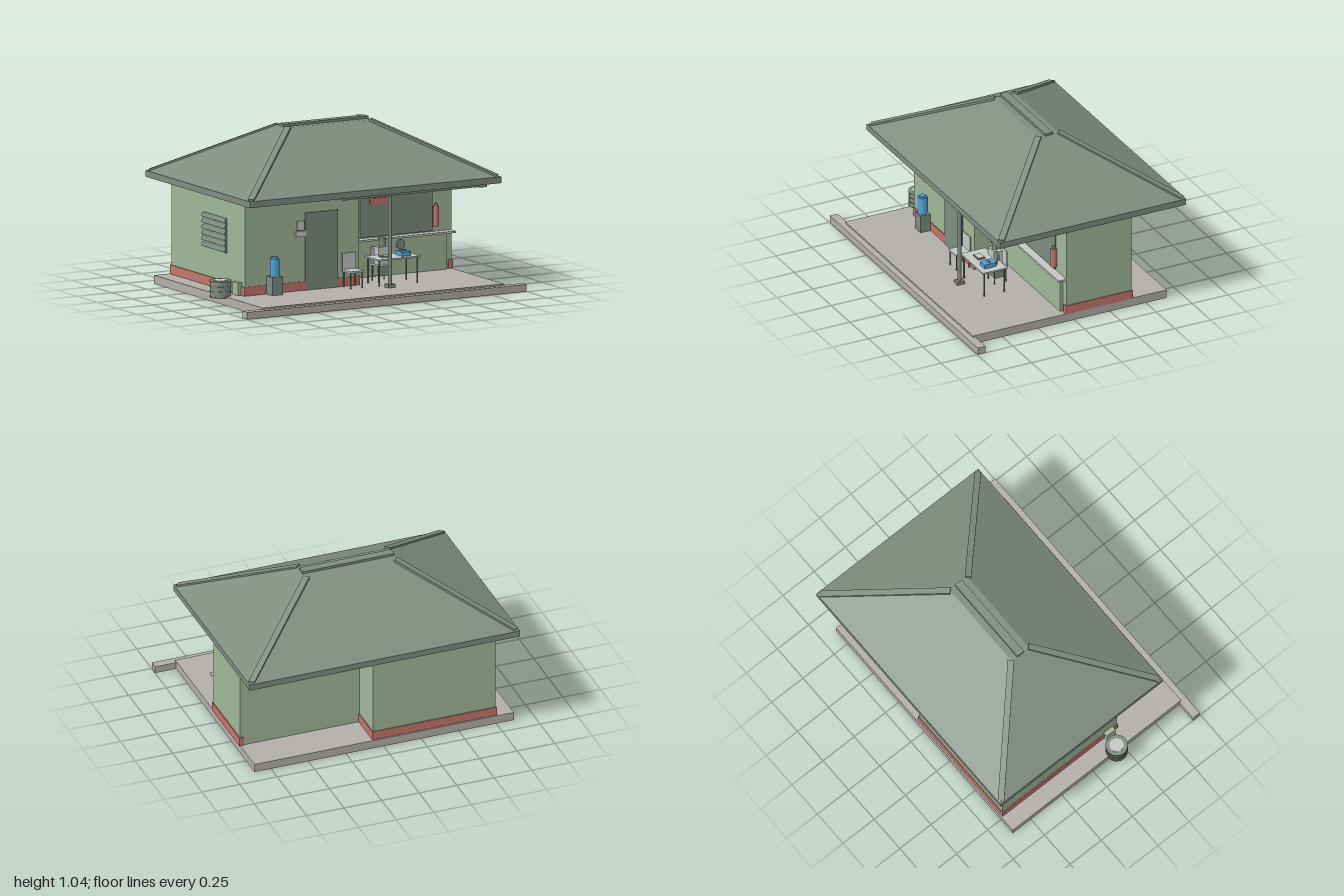
import * as THREE from 'three';

const mat = (name, color) => {
  const m = new THREE.MeshStandardMaterial({ color });
  m.name = name;
  return m;
};

export function createModel() {
  const wall = mat('wallGreen', 0xa0b798);
  const roofC = mat('roofGreyGreen', 0x7f8d80);
  const red = mat('skirtingRed', 0xc4766b);
  const concrete = mat('concrete', 0xb3afaa);
  const blue = mat('blue', 0x55a5d8);
  const pale = mat('paleGrey', 0xc6c8c6);

  const model = new THREE.Group();
  model.name = 'smallHouse';

  const add = (name, geo, m, parent = model) => {
    const mesh = new THREE.Mesh(geo, m);
    mesh.name = name;
    parent.add(mesh);
    return mesh;
  };
  // box given by its limits on each axis
  const box = (name, m, x0, x1, y0, y1, z0, z1, parent) => {
    const b = add(name, new THREE.BoxGeometry(x1 - x0, y1 - y0, z1 - z0), m, parent);
    b.position.set((x0 + x1) / 2, (y0 + y1) / 2, (z0 + z1) / 2);
    return b;
  };
  const cyl = (name, m, x, z, y0, y1, r, parent, rBottom = r) => {
    const c = add(name, new THREE.CylinderGeometry(r, rBottom, y1 - y0, 20), m, parent);
    c.position.set(x, (y0 + y1) / 2, z);
    return c;
  };
  const group = (name) => {
    const g = new THREE.Group();
    g.name = name;
    model.add(g);
    return g;
  };

  // ground slab and front curb
  const F = 0.055;
  box('floorSlab', concrete, -0.866, 0.86, 0, F, -0.645, 0.706);
  box('frontCurb', concrete, -1, 1, 0, 0.045, 0.69, 0.745);

  // walls: main block, set-back wing and low counter wall
  box('mainBlock', wall, -0.75, 0.065, F, 0.665, -0.63, 0.285);
  box('wing', wall, 0.065, 0.86, F, 0.665, -0.4, 0.055);
  box('counterWall', wall, 0.065, 0.815, F, 0.285, 0.055, 0.075);
  box('counterTop', pale, 0.065, 0.86, 0.285, 0.297, 0.03, 0.11);

  // red skirting
  const S = 0.112, t = 0.006;
  const skirts = [
    [-0.756, -0.32, 0.285, 0.285 + t], [-0.09, 0.071, 0.285, 0.285 + t],
    [-0.756, -0.75, -0.636, 0.285], [-0.756, 0.071, -0.636, -0.63],
    [0.065, 0.071, 0.075, 0.285], [0.065, 0.071, -0.63, -0.4],
    [0.86, 0.866, -0.405, 0.061], [0.835, 0.866, 0.055, 0.061], [0.835, 0.866, -0.406, -0.4],
  ];
  for (const [x0, x1, z0, z1] of skirts) box('skirting', red, x0, x1, F, S, z0, z1);

  // door, shutter and sign
  box('door', roofC, -0.32, -0.09, F, 0.542, 0.28, 0.294);
  box('servingShutter', roofC, 0.2, 0.72, 0.303, 0.61, 0.05, 0.063);
  box('signPlate', red, 0.27, 0.41, 0.505, 0.545, 0.063, 0.07);

  // wall boxes beside the door
  box('meterBox', pale, -0.38, -0.33, 0.435, 0.493, 0.28, 0.294);
  box('switchBox', pale, -0.39, -0.32, 0.395, 0.43, 0.28, 0.297);

  // louvred vent on the side wall
  const vent = group('sideVent');
  box('ventPanel', roofC, -0.754, -0.748, 0.29, 0.51, -0.23, 0.06, vent);
  for (let i = 0; i < 6; i++) {
    const y = 0.308 + i * 0.037;
    const slat = box('ventSlat', roofC, -0.763, -0.753, y - 0.013, y + 0.013, -0.23, 0.06, vent);
    slat.rotation.z = -0.35;
  }

  // hip roof with a flat top
  const roof = group('roof');
  const cx = 0.031, cz = -0.095;
  box('fascia', roofC, cx - 0.9, cx + 0.9, 0.66, 0.7, cz - 0.65, cz + 0.65, roof);
  const hip = new THREE.BoxGeometry(1.79, 0.325, 1.29);
  const p = hip.attributes.position;
  for (let i = 0; i < p.count; i++) {
    if (p.getY(i) > 0) p.setXYZ(i, Math.sign(p.getX(i)) * 0.305, p.getY(i), Math.sign(p.getZ(i)) * 0.07);
  }
  hip.computeVertexNormals();
  add('roofSlopes', hip, roofC, roof).position.set(cx, 0.8625, cz);
  for (const sx of [-1, 1]) for (const sz of [-1, 1]) {
    const a = new THREE.Vector3(cx + sx * 0.88, 0.704, cz + sz * 0.63);
    const b = new THREE.Vector3(cx + sx * 0.295, 1.026, cz + sz * 0.07);
    const cap = add('hipCap', new THREE.BoxGeometry(0.04, 0.016, a.distanceTo(b)), roofC, roof);
    cap.position.copy(a).lerp(b, 0.5);
    cap.lookAt(b);
  }
  box('ridgeCap', roofC, -0.274, 0.336, 1.02, 1.041, cz - 0.027, cz + 0.027, roof);

  // porch beams and post
  box('frontBeam', roofC, -0.16, 0.855, 0.635, 0.662, 0.43, 0.485);
  box('sideBeam', roofC, 0.8, 0.855, 0.635, 0.662, 0.055, 0.505);
  cyl('porchPost', roofC, 0.19, 0.455, F, 0.636, 0.0135);
  box('postBase', roofC, 0.165, 0.215, F, 0.075, 0.43, 0.48);

  // rain barrel and the block beside it
  const barrel = group('barrel');
  cyl('barrelBody', roofC, -0.868, 0.187, 0.045, 0.15, 0.066, barrel);
  for (const y of [0.05, 0.083, 0.114, 0.147]) cyl('barrelRing', roofC, -0.868, 0.187, y - 0.004, y + 0.004, 0.07, barrel);
  cyl('barrelLid', pale, -0.868, 0.187, 0.15, 0.154, 0.045, barrel);
  box('wallBlock', wall, -0.78, -0.75, F, 0.135, 0.18, 0.25);

  // water jug on its stand
  const cooler = group('waterCooler');
  box('coolerStand', roofC, -0.597, -0.52, F, 0.17, 0.29, 0.36, cooler);
  cyl('waterJug', blue, -0.56, 0.325, 0.17, 0.282, 0.03, cooler);
  cyl('jugCap', blue, -0.56, 0.325, 0.282, 0.292, 0.02, cooler);

  // fire extinguisher
  const ext = group('fireExtinguisher');
  cyl('extinguisherBody', red, 0.735, 0.078, 0.335, 0.462, 0.019, ext);
  cyl('extinguisherValve', roofC, 0.735, 0.078, 0.462, 0.478, 0.01, ext);

  // chairs
  const chair = (x0, x1, z0, z1) => {
    const g = group('chair');
    box('chairSeat', pale, x0, x1, 0.153, 0.165, z0, z1, g);
    box('chairBack', pale, x0, x1, 0.165, 0.267, z0, z0 + 0.008, g);
    for (const x of [x0 + 0.008, x1 - 0.008]) for (const z of [z0 + 0.008, z1 - 0.008])
      cyl('chairLeg', roofC, x, z, F, 0.154, 0.004, g);
  };
  chair(-0.062, 0.036, 0.295, 0.4);
  chair(0.208, 0.308, 0.18, 0.275);

  // box, cabinet and canister around the rear chair
  box('underSeatBox', roofC, 0.217, 0.3, 0.09, 0.153, 0.2, 0.265);
  box('machineBody', pale, 0.215, 0.3, 0.165, 0.275, 0.212, 0.267);
  cyl('canister', roofC, 0.257, 0.24, 0.275, 0.318, 0.02);
  cyl('canisterRim', roofC, 0.257, 0.24, 0.318, 0.33, 0.026);

  // table
  const table = group('table');
  box('tableTop', pale, 0.13, 0.432, 0.215, 0.225, 0.245, 0.415, table);
  for (const x of [0.145, 0.417]) for (const z of [0.26, 0.4]) cyl('tableLeg', roofC, x, z, F, 0.216, 0.005, table);

  // things on the table
  box('blueCase', blue, 0.32, 0.385, 0.225, 0.252, 0.3, 0.38);
  box('caseHandle', blue, 0.335, 0.37, 0.252, 0.26, 0.33, 0.345);
  box('notebook', roofC, 0.19, 0.26, 0.225, 0.231, 0.31, 0.36);
  box('paper', pale, 0.197, 0.253, 0.231, 0.234, 0.315, 0.355);
  const fan = cyl('fanDisc', roofC, 0.362, 0.285, 0.278, 0.292, 0.03);
  fan.rotation.x = Math.PI / 2;
  cyl('fanStem', roofC, 0.362, 0.285, 0.225, 0.26, 0.005);

  return model;
}
